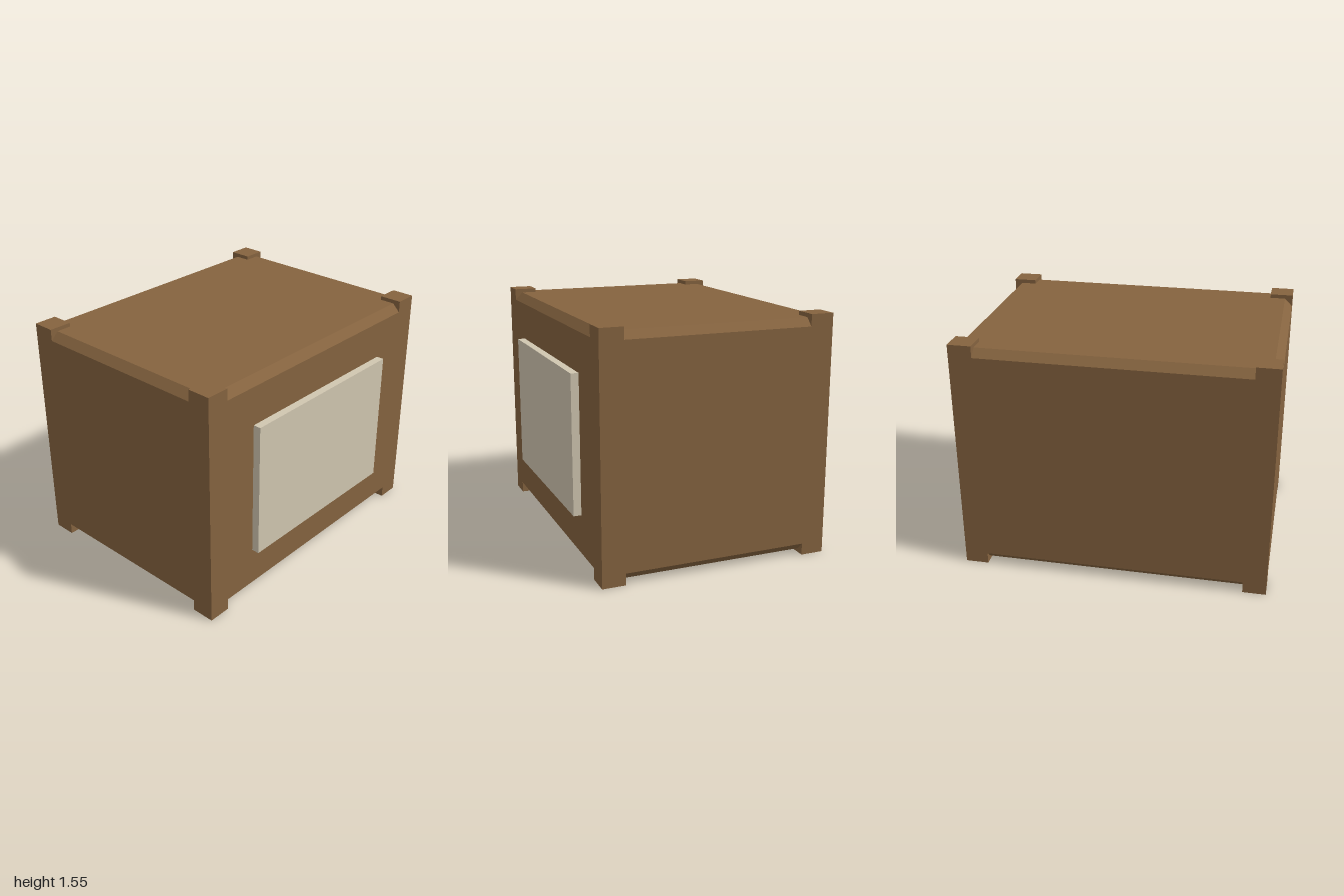
import * as THREE from 'three';

export function createModel() {
  const model = new THREE.Group();
  model.name = 'crate';
  const wood = new THREE.MeshStandardMaterial({ color: 0x85633f });
  wood.name = 'brown wood';
  const cream = new THREE.MeshStandardMaterial({ color: 0xd0c6b0 });
  cream.name = 'cream panel';

  const add = (name, geometry, material, x, y, z) => {
    const mesh = new THREE.Mesh(geometry, material);
    mesh.name = name;
    mesh.position.set(x, y, z);
    model.add(mesh);
  };

  const width = 2, height = 1.55, depth = 1.5, centreZ = -0.025;
  const bevel = 0.05, post = 0.15;

  // Body: a box whose top and bottom rings are drawn in to bevel the rims
  const bodyHeight = height - 0.05;
  let body = new THREE.BoxGeometry(width, bodyHeight, depth, 1, 3, 1);
  const p = body.attributes.position;
  for (let i = 0; i < p.count; i++) {
    const x = p.getX(i), y = p.getY(i), z = p.getZ(i);
    if (Math.abs(y) > bodyHeight * 0.4) {
      p.setX(i, x - Math.sign(x) * bevel);
      p.setZ(i, z - Math.sign(z) * bevel);
    } else {
      p.setY(i, Math.sign(y) * (bodyHeight / 2 - bevel));
    }
  }
  body = body.toNonIndexed();
  body.computeVertexNormals();
  add('body', body, wood, 0, height / 2, centreZ);

  // Four corner posts, standing slightly proud of the top and bottom
  const postGeometry = new THREE.BoxGeometry(post, height, post);
  for (const [sx, side] of [[1, 'left'], [-1, 'right']]) {
    for (const [sz, end] of [[1, 'front'], [-1, 'back']]) {
      add(`${end} ${side} cornerPost`, postGeometry, wood,
        sx * (width - post) / 2, height / 2, centreZ + sz * (depth - post) / 2);
    }
  }

  // Raised blank panel on the front
  add('frontPanel', new THREE.BoxGeometry(1.25, 0.895, 0.05), cream, 0, 0.778, 0.75);

  return model;
}
